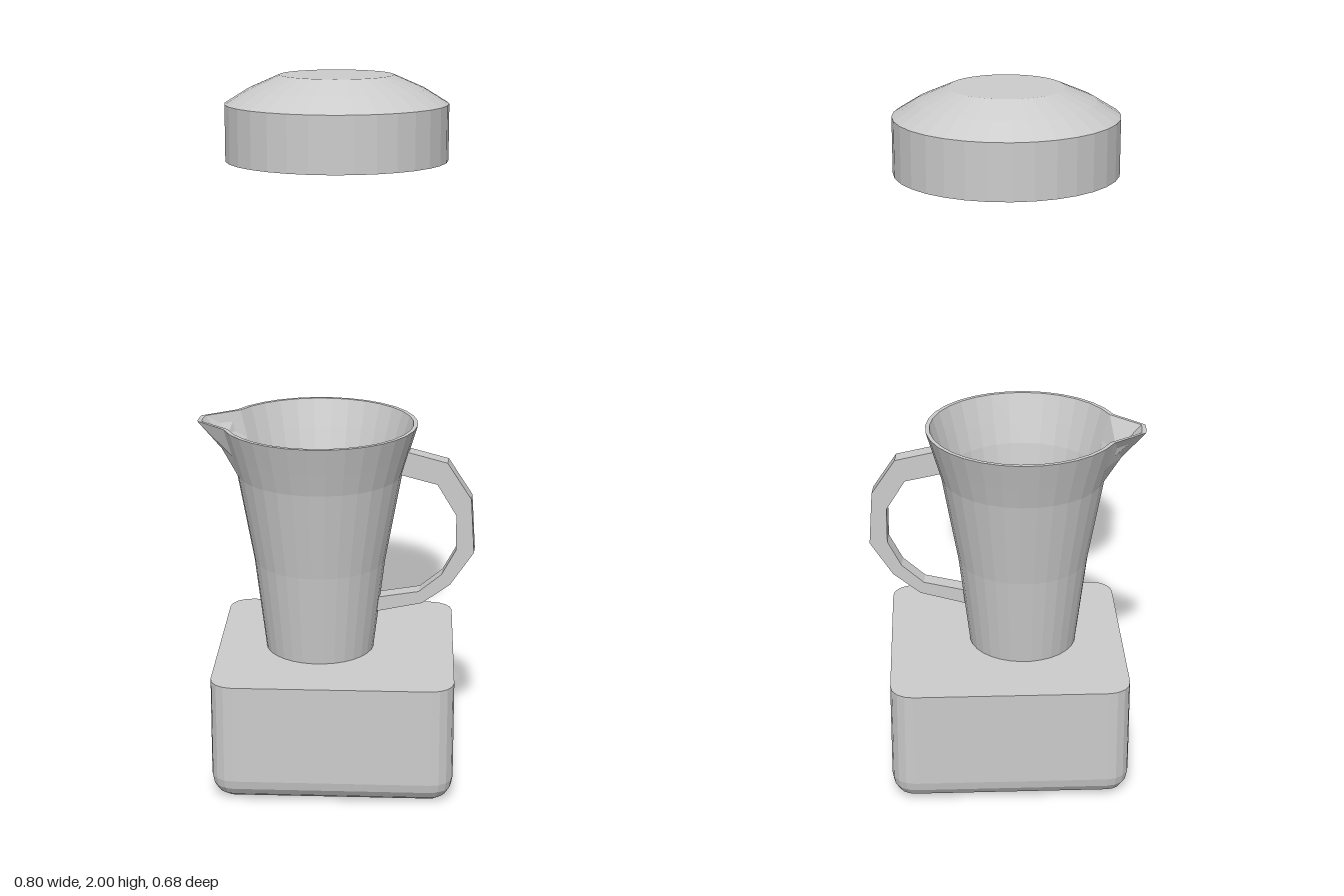
import * as THREE from 'three';

const material = new THREE.MeshStandardMaterial({ color: 0xcccccc, flatShading: true, side: THREE.DoubleSide });
const SEGMENTS = 32;

function addMesh(parent, name, geometry) {
  const mesh = new THREE.Mesh(geometry, material);
  mesh.name = name;
  parent.add(mesh);
  return mesh;
}

function lathe(profile) {
  return new THREE.LatheGeometry(profile.map(([r, y]) => new THREE.Vector2(r, y)), SEGMENTS);
}

// Square block with rounded uprights and lower edges, sharp and flat on top
function baseGeometry(half, height, radius, steps) {
  const rings = [];
  for (let j = 0; j <= steps; j++) {
    const a = (j / steps) * Math.PI / 2;
    rings.push([radius * Math.sin(a), radius * (1 - Math.cos(a))]);
  }
  rings.push([radius, height]);

  const positions = [], index = [];
  const count = 4 * (steps + 1);
  for (const [r, y] of rings) {
    for (let q = 0; q < 4; q++) {
      const mid = Math.PI / 4 + q * Math.PI / 2;
      const cx = Math.sign(Math.cos(mid)) * (half - radius);
      const cz = Math.sign(Math.sin(mid)) * (half - radius);
      for (let k = 0; k <= steps; k++) {
        const a = (q + k / steps) * Math.PI / 2;
        positions.push(cx + r * Math.cos(a), y, cz + r * Math.sin(a));
      }
    }
  }
  for (let j = 0; j < rings.length - 1; j++) {
    for (let i = 0; i < count; i++) {
      const a = j * count + i, b = j * count + (i + 1) % count;
      index.push(a, a + count, b, b, a + count, b + count);
    }
  }
  const top = (rings.length - 1) * count;
  for (let i = 1; i < count - 1; i++) {
    index.push(0, i, i + 1, top, top + i + 1, top + i);
  }
  const geometry = new THREE.BufferGeometry();
  geometry.setAttribute('position', new THREE.Float32BufferAttribute(positions, 3));
  geometry.setIndex(index);
  geometry.computeVertexNormals();
  return geometry;
}

// Thin-walled flared jug; the upper rows are drawn out to a spout at -x
function jugGeometry() {
  const outer = [[0.157, 0.35], [0.19, 0.62], [0.237, 0.88], [0.256, 0.945], [0.28, 1.025]];
  const inner = outer.map(([r, y], i) => [r - 0.012, i === 0 ? 0.37 : y]).reverse();
  const geometry = lathe([[0, 0.35], ...outer, ...inner, [0, 0.37]]);
  const p = geometry.attributes.position;
  const pull = (y) => (y > 1 ? 0.07 : y > 0.9 ? 0.025 : 0);
  for (let i = 0; i < p.count; i++) {
    const x = p.getX(i), y = p.getY(i), z = p.getZ(i);
    const angle = Math.atan2(z, -x);
    if (pull(y) === 0 || Math.abs(angle) > 0.3) continue;
    const r = Math.hypot(x, z) + pull(y);
    p.setXYZ(i, -r * Math.cos(angle * 0.45), y, r * Math.sin(angle * 0.45));
  }
  geometry.computeVertexNormals();
  return geometry;
}

// Angular loop of rectangular section
function handleGeometry() {
  const outline = [
    [0.245, 0.955], [0.368, 0.925], [0.437, 0.82], [0.447, 0.66], [0.38, 0.56], [0.3, 0.5], [0.165, 0.468],
    [0.17, 0.512], [0.29, 0.535], [0.355, 0.59], [0.395, 0.665], [0.395, 0.77], [0.34, 0.86], [0.235, 0.885],
  ];
  const shape = new THREE.Shape(outline.map(([x, y]) => new THREE.Vector2(x, y)));
  const geometry = new THREE.ExtrudeGeometry(shape, { depth: 0.05, bevelEnabled: false });
  return geometry.translate(0, 0, -0.025);
}

export function createModel() {
  const model = new THREE.Group();
  model.name = 'jugOnBase';

  addMesh(model, 'base', baseGeometry(0.342, 0.35, 0.065, 4));

  // Jug and handle stand slightly off centre and turned
  const jug = new THREE.Group();
  jug.name = 'jug';
  jug.position.set(-0.048, 0, 0.005);
  jug.rotation.y = -0.08;
  addMesh(jug, 'jugBody', jugGeometry());
  addMesh(jug, 'handle', handleGeometry());
  model.add(jug);

  // Raised lid with a shallow recess underneath
  addMesh(model, 'lid', lathe([
    [0, 1.79], [0.26, 1.79], [0.285, 1.77], [0.305, 1.77],
    [0.305, 1.923], [0.24, 1.963], [0.155, 2], [0, 2],
  ]));

  return model;
}
